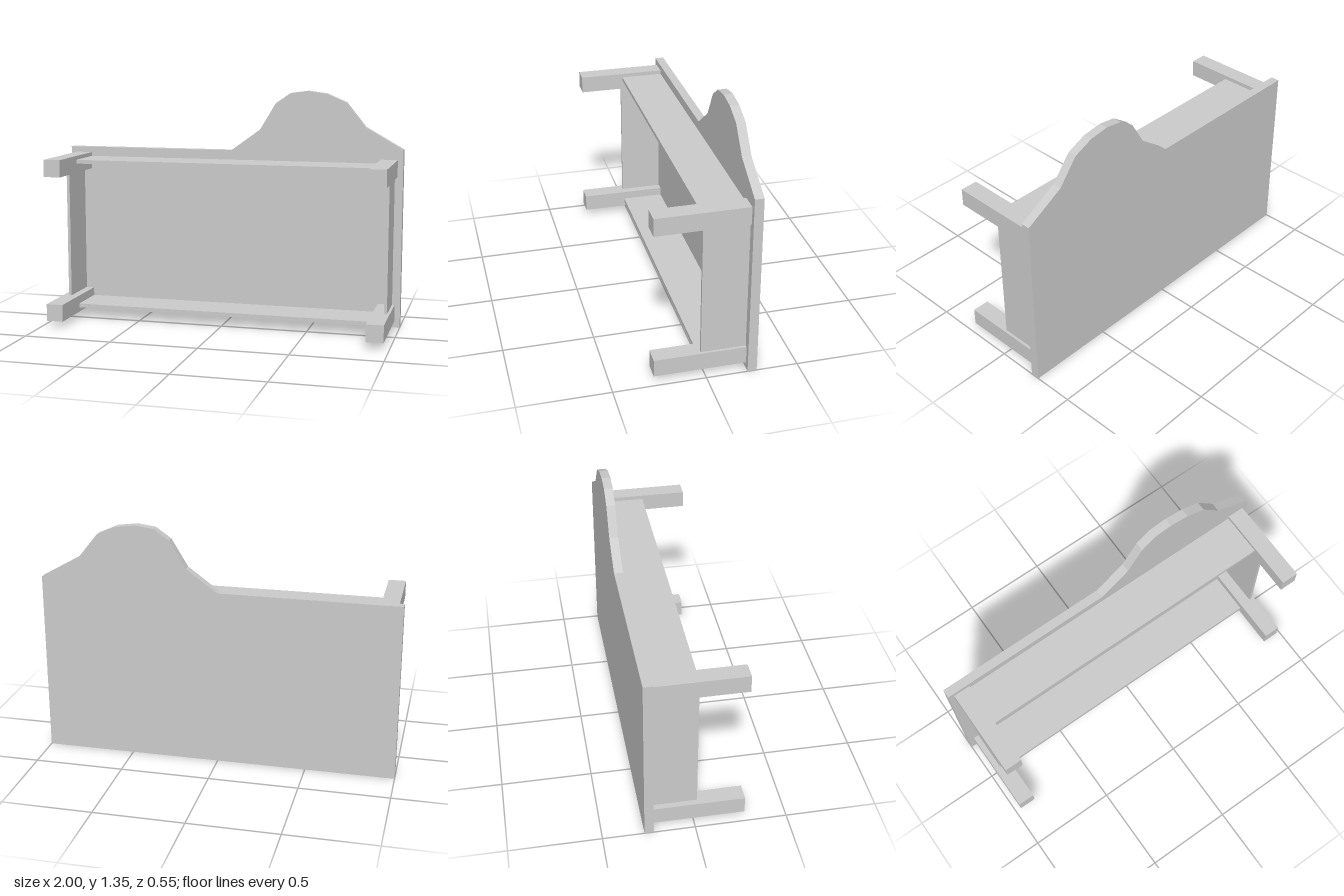
import * as THREE from 'three';

export function createModel() {
  const group = new THREE.Group();
  const material = new THREE.MeshStandardMaterial({ color: 0xcccccc, flatShading: true });
  const backZ = -0.275, panelZ = -0.225; // back and front of the table top

  const add = (name, geometry) => {
    const mesh = new THREE.Mesh(geometry, material);
    mesh.name = name;
    group.add(mesh);
    return mesh;
  };
  // Box given by its limits in x and y, reaching forward from the top panel
  const block = (name, x0, x1, y0, y1, z1) =>
    add(name, new THREE.BoxGeometry(x1 - x0, y1 - y0, z1 - panelZ))
      .position.set((x0 + x1) / 2, (y0 + y1) / 2, (z1 + panelZ) / 2);

  // Table top standing on edge, with a rounded bulge on one long side
  const outline = [
    [-1, 0], [1, 0], [1, 1.025], [0.78, 1.15], [0.67, 1.287], [0.56, 1.335], [0.45, 1.35],
    [0.35, 1.337], [0.263, 1.277], [0.172, 1.125], [0, 1], [-1, 1],
  ].map(([x, y]) => new THREE.Vector2(x, y));
  add('tableTop', new THREE.ExtrudeGeometry(new THREE.Shape(outline), {
    depth: panelZ - backZ, bevelEnabled: false,
  })).position.z = backZ;

  // Four square legs
  for (const x of [-0.967, 0.872])
    for (const y of [0.036, 0.87])
      block('leg', x, x + 0.097, y, y + 0.098, 0.275);

  // Thin apron boards between the legs
  block('upperApron', -0.87, 0.872, 0.923, 0.945, 0.02);
  block('lowerApron', -0.87, 0.872, 0.063, 0.086, 0.02);
  block('rightApron', -0.934, -0.917, 0.134, 0.87, 0.02);
  block('leftApron', 0.937, 0.954, 0.134, 0.87, 0.02);

  return group;
}
